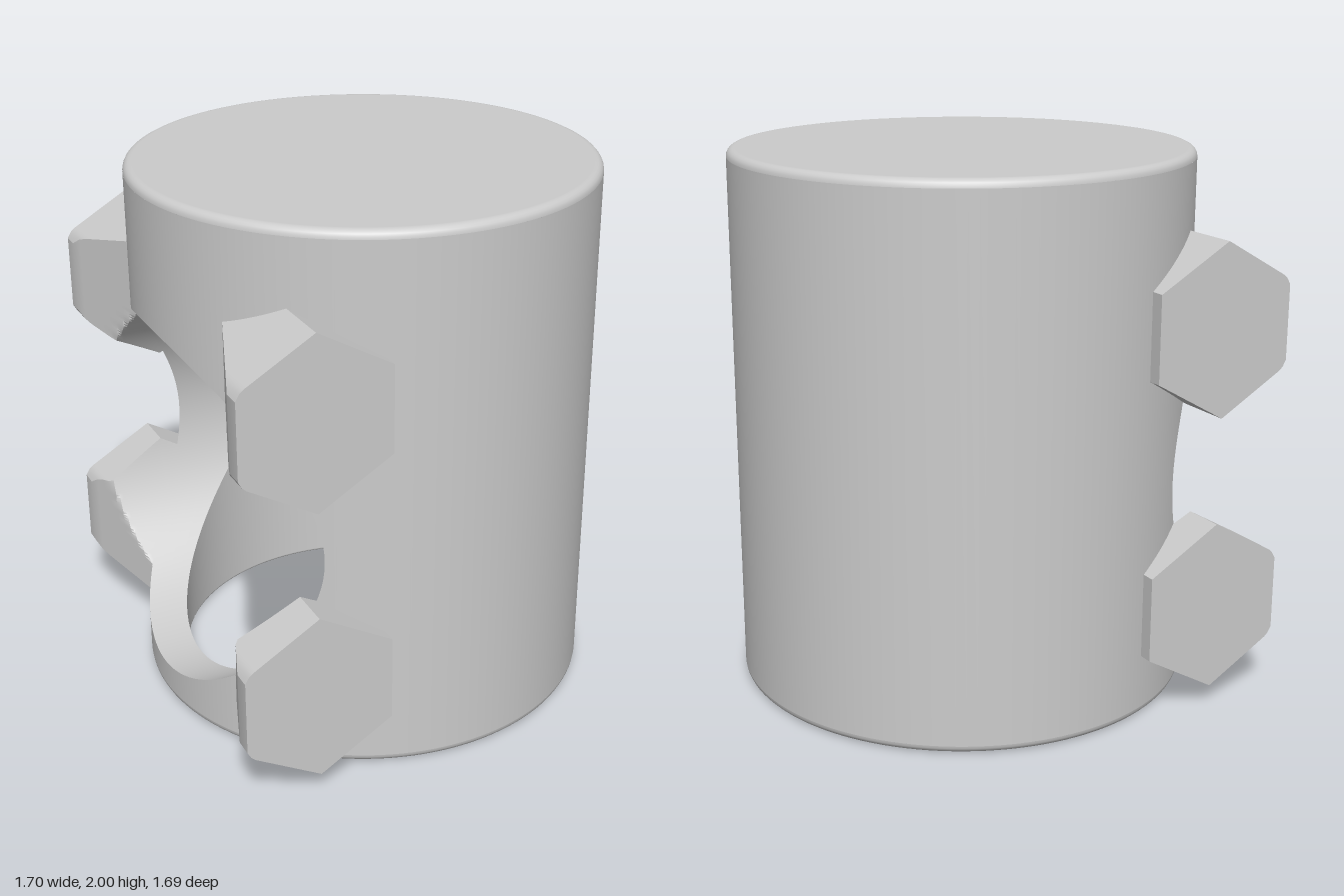
import * as THREE from 'three';
import { ParametricGeometry } from 'three/addons/geometries/ParametricGeometry.js';
import { mergeGeometries, toCreasedNormals } from 'three/addons/utils/BufferGeometryUtils.js';

const R = 0.845, r = 0.7;              // outer and inner radius of the body
const BORE = 0.69, BORE_Y = 0.82;      // side opening towards -x
const TOP = 2, CEILING = 1.86, FILLET = 0.03;
const { sin, cos, asin, sqrt, abs, max, min, PI } = Math;
const material = new THREE.MeshStandardMaterial({ color: 0xcccccc });

// Surface patch from fn(u, v) -> [x, y, z]; flip turns its front around
function patch(fn, nu, nv, flip = false) {
  return new ParametricGeometry((u, v, p) => p.set(...fn(flip ? 1 - u : u, v)), nu, nv);
}

// Cylinder wall with the side opening left out
function wall(rad, y0, y1, inward) {
  const edge = asin(BORE / rad);
  const at = (a, y) => [-rad * cos(a), y, rad * sin(a)];
  const mix = (a, b, t) => a + (b - a) * t;
  const angle = u => asin(-BORE * cos(PI * u) / rad);
  const half = u => BORE * sin(PI * u);
  const geo = mergeGeometries([
    patch((u, v) => at(mix(edge, 2 * PI - edge, u), mix(y0, y1, v)), 96, 1, inward),
    patch((u, v) => at(angle(u), mix(y0, BORE_Y - half(u), v)), 64, 1, inward),
    patch((u, v) => at(angle(u), mix(BORE_Y + half(u), y1, v)), 64, 1, inward),
  ]);
  // exact radial normals
  const pos = geo.attributes.position, nor = geo.attributes.normal, s = inward ? -1 : 1;
  for (let i = 0; i < pos.count; i++) nor.setXYZ(i, s * pos.getX(i) / rad, 0, s * pos.getZ(i) / rad);
  return geo;
}

// Surface of the side opening through the wall thickness
function boreSurface() {
  return patch((u, v) => {
    const t = 2 * PI * u, z = BORE * cos(t), rad = r + (R - r) * v;
    return [-sqrt(rad * rad - z * z), BORE_Y + BORE * sin(t), z];
  }, 128, 4, true);
}

function lathe(points) {
  return new THREE.LatheGeometry(points.map(p => new THREE.Vector2(...p)), 128);
}

// Quarter-round profile points between two angles
function fillet(cx, cy, a0, a1, rad = FILLET) {
  return Array.from({ length: 6 }, (_, i) => {
    const a = a0 + (a1 - a0) * i / 5;
    return [cx + rad * cos(a), cy + rad * sin(a)];
  });
}

// Hexagonal lug, trimmed by a slanted plane and by the side opening
function lugGeometry(cy, s) {
  const cx = -0.578, halfW = 0.273, zFace = 0.84;
  const X = u => cx + halfW * (2 * u - 1);
  const h = x => 0.315 - 0.577 * abs(x - cx) - 30 * max(0, -0.825 - x) ** 2;
  const zBack = (x, y) => {
    const slant = 0.42 + (-0.72 - x) * 2.7;
    const bore = sqrt(max(0, (BORE + 0.002) ** 2 - (y - BORE_Y) ** 2));
    const embedded = sqrt(max(0, 0.775 ** 2 - x * x));
    return min(zFace, max(slant, bore, embedded));
  };
  const Y = (x, v) => cy + h(x) * (2 * v - 1);
  const side = (x, y, t) => [x, y, s * (zBack(x, y) + (zFace - zBack(x, y)) * t)];
  const m = s < 0;
  const faces = [
    patch((u, v) => side(X(u), Y(X(u), v), 1), 40, 1, m),
    patch((u, v) => side(X(u), Y(X(u), v), 0), 40, 40, !m),
    patch((u, v) => side(X(u), Y(X(u), 1), v), 40, 1, !m),
    patch((u, v) => side(X(u), Y(X(u), 0), v), 40, 1, m),
    patch((u, v) => side(X(0), Y(X(0), v), u), 1, 40, m),
    patch((u, v) => side(X(1), Y(X(1), v), u), 1, 40, !m),
  ];
  return toCreasedNormals(mergeGeometries(faces), 0.4);
}

export function createModel() {
  const model = new THREE.Group();
  model.name = 'pipeFitting';
  const add = (name, geo) => {
    const mesh = new THREE.Mesh(geo, material);
    mesh.name = name;
    model.add(mesh);
  };

  // Body: walls, opening, top cap, bottom rim and closed end of the cavity
  add('outerWall', wall(R, FILLET, TOP - FILLET, false));
  add('innerWall', wall(r, 0.01, CEILING, true));
  add('sideOpening', boreSurface());
  add('topCap', lathe([
    ...fillet(R - FILLET, TOP - FILLET, 0, PI / 2), [R - FILLET - 0.004, TOP], [0, TOP]]));
  add('bottomRim', lathe([
    ...fillet(r + 0.01, 0.01, PI, 1.5 * PI, 0.01), [r + 0.014, 0], [R - FILLET - 0.004, 0],
    ...fillet(R - FILLET, FILLET, 1.5 * PI, 2 * PI)]));
  add('cavityCeiling', lathe([[0, CEILING], [r, CEILING]]));

  // Two hexagonal lugs on the front and two on the back
  for (const s of [1, -1]) {
    for (const [level, y] of [['upper', 1.415], ['lower', 0.39]]) {
      add(`${level}${s > 0 ? 'Front' : 'Back'}HexLug`, lugGeometry(y, s));
    }
  }
  return model;
}
